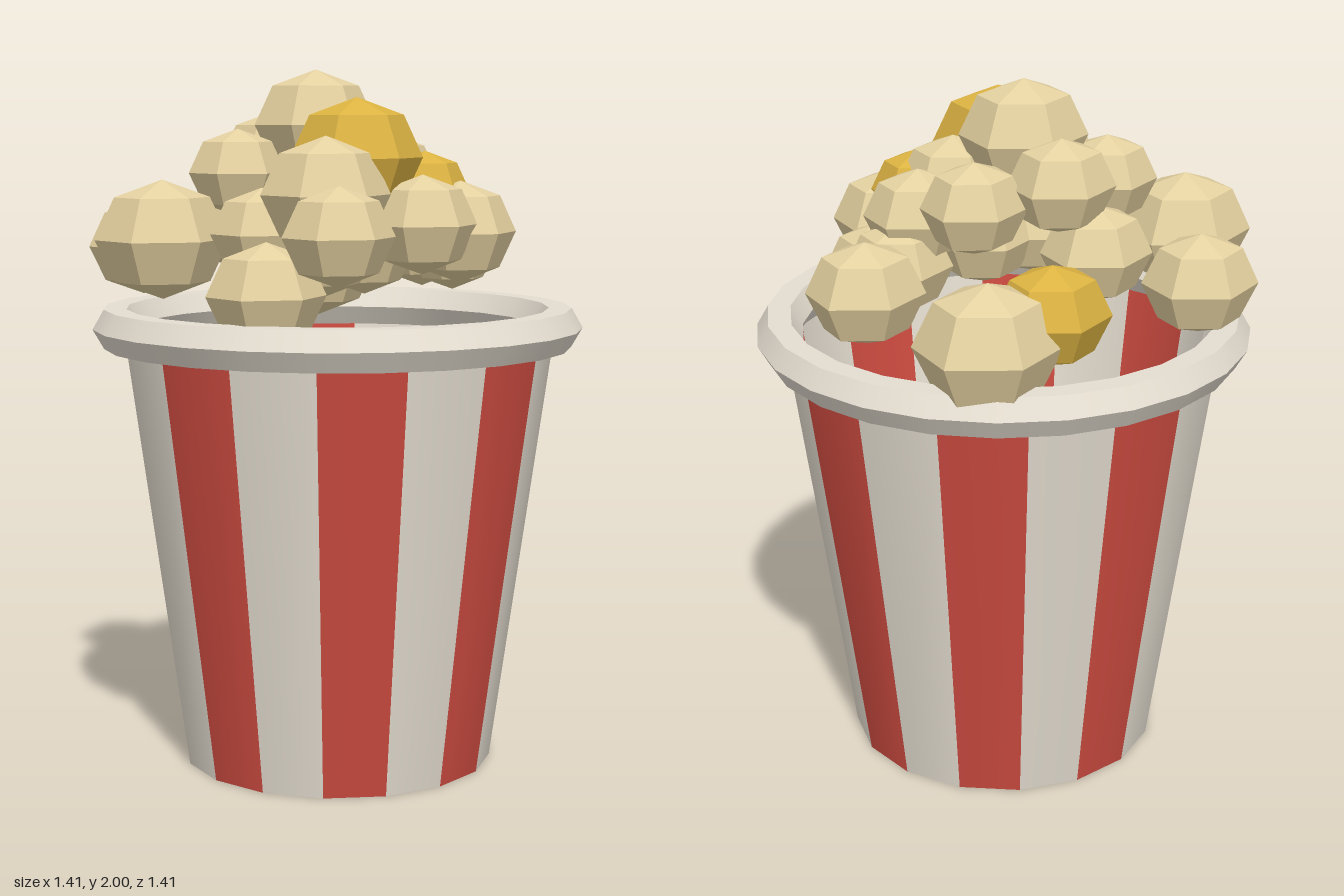
import * as THREE from 'three';

const red = new THREE.MeshStandardMaterial({ color: 0xcc4b40, side: THREE.DoubleSide });
red.name = 'red stripe';
const white = new THREE.MeshStandardMaterial({ color: 0xe4ddd0, side: THREE.DoubleSide });
white.name = 'off white';
const cream = new THREE.MeshStandardMaterial({ color: 0xe4d1a0 });
cream.name = 'popcorn cream';
const gold = new THREE.MeshStandardMaterial({ color: 0xdcb342 });
gold.name = 'caramel gold';

function add(parent, name, geometry, material, x = 0, y = 0, z = 0) {
  const mesh = new THREE.Mesh(geometry, material);
  mesh.name = name;
  mesh.position.set(x, y, z);
  parent.add(mesh);
  return mesh;
}

// Tapered open bucket of 16 alternating stripes
function makeBucket() {
  const bucket = new THREE.Group();
  bucket.name = 'bucket';
  const h = 1.27, n = 16, step = (Math.PI * 2) / n;
  for (let i = 0; i < n; i++) {
    const stripe = new THREE.CylinderGeometry(0.627, 0.45, h, 1, 1, true, i * step, step);
    add(bucket, i % 2 ? 'whiteStripe' : 'redStripe', stripe, i % 2 ? white : red, 0, h / 2, 0);
  }
  add(bucket, 'bucketBase', new THREE.CircleGeometry(0.45, n).rotateX(Math.PI / 2), white);
  return bucket;
}

// Hexagonal-section rim: one smooth band per side, so the edges stay sharp
function makeRim() {
  const rim = new THREE.Group();
  rim.name = 'rim';
  const corner = (i) => {
    const a = (i * Math.PI) / 3;
    return new THREE.Vector2(0.64 + 0.065 * Math.cos(a), 0.065 * Math.sin(a));
  };
  for (let i = 0; i < 6; i++) {
    add(rim, 'rimBand', new THREE.LatheGeometry([corner(i), corner(i + 1)], 24), white);
  }
  rim.position.y = 1.27;
  return rim;
}

// Faceted six-sided popcorn piece
function makeKernelGeometry() {
  const g = new THREE.SphereGeometry(1, 6, 4).rotateY(Math.PI / 2).scale(1.08, 0.93, 1).toNonIndexed();
  g.computeVertexNormals();
  return g;
}

// x, y, z, radius of each piece
const creamKernels = [
  [-0.03, 1.844, -0.06, 0.168],
  [-0.25, 1.66, 0.25, 0.17],
  [-0.33, 1.555, 0.4, 0.145],
  [-0.44, 1.395, 0.23, 0.155],
  [-0.5, 1.53, -0.16, 0.178],
  [-0.345, 1.49, -0.478, 0.15],
  [0.3, 1.42, -0.465, 0.188],
  [0.53, 1.53, -0.22, 0.15],
  [0.19, 1.7, -0.185, 0.137],
  [-0.035, 1.75, -0.26, 0.14],
  [-0.25, 1.71, -0.14, 0.133],
  [-0.13, 1.555, -0.29, 0.145],
  [0.21, 1.545, 0.29, 0.155],
  [0.03, 1.573, 0.33, 0.148],
  [0.25, 1.63, 0.03, 0.143],
  [0.32, 1.5, 0.01, 0.14],
  [0.35, 1.48, 0.11, 0.125],
  [-0.33, 1.55, 0.07, 0.135],
  [0.11, 1.69, 0.09, 0.145],
  [-0.17, 1.5, 0.14, 0.14],
  [0, 1.5, 0.12, 0.14],
];
const goldKernels = [
  [-0.085, 1.756, 0.185, 0.178],
  [0.175, 1.655, 0.18, 0.125],
  [0.105, 1.47, -0.46, 0.15],
];

function makePopcorn() {
  const popcorn = new THREE.Group();
  popcorn.name = 'popcorn';
  const geometry = makeKernelGeometry();
  const place = (list, name, material) => {
    for (const [x, y, z, r] of list) add(popcorn, name, geometry, material, x, y, z).scale.setScalar(r);
  };
  place(creamKernels, 'creamKernel', cream);
  place(goldKernels, 'goldKernel', gold);
  return popcorn;
}

export function createModel() {
  const model = new THREE.Group();
  model.name = 'popcornBucket';
  model.add(makeBucket(), makeRim(), makePopcorn());
  return model;
}
